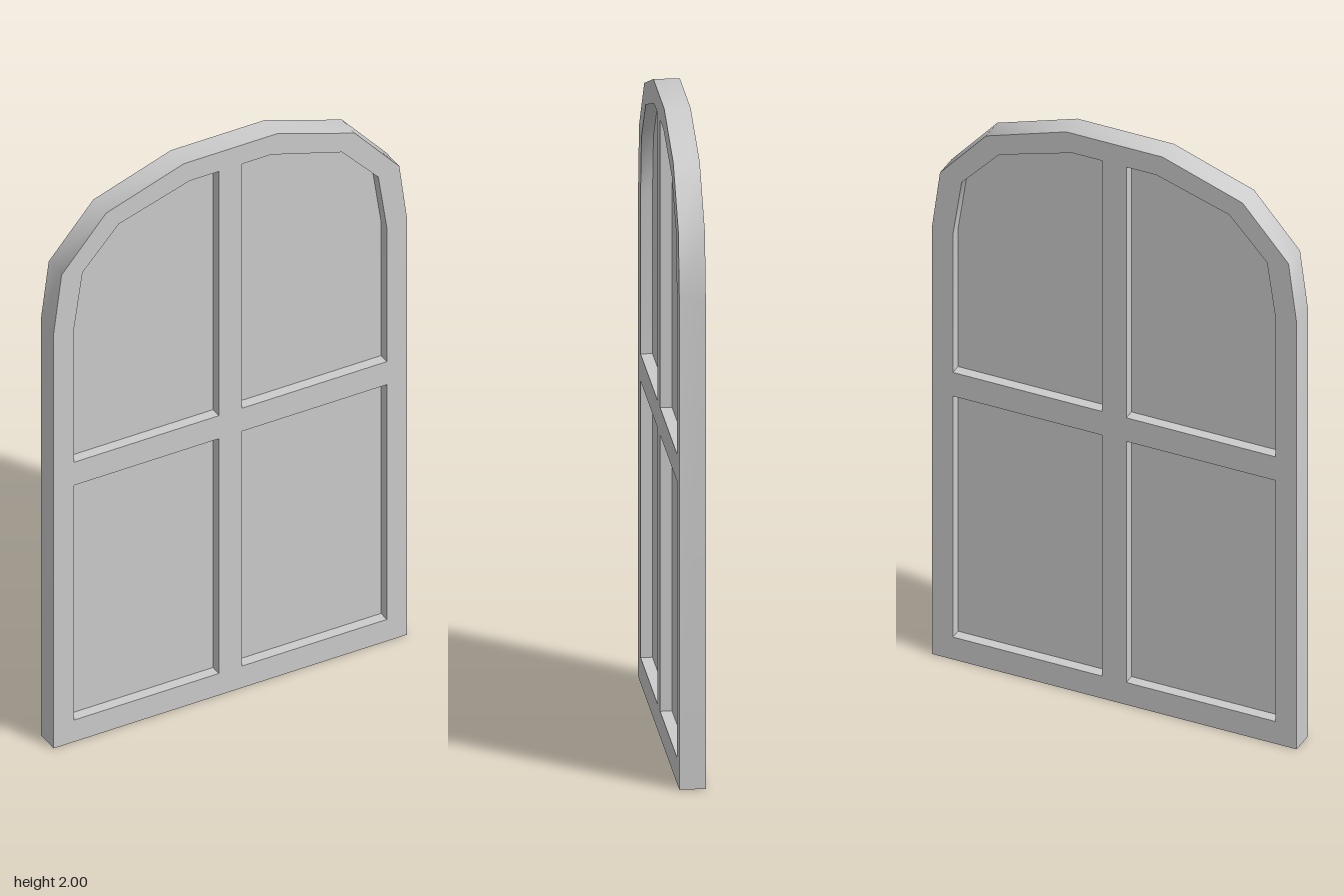
import * as THREE from 'three';
import { toCreasedNormals } from 'three/addons/utils/BufferGeometryUtils.js';

const DEPTH = 0.08;      // frame thickness
const PANEL = 0.008;     // panel thickness
const CREASE = 0.7;      // keeps the arch smooth and the corners sharp

const points = (list) => list.map(([x, y]) => new THREE.Vector2(x, y));
const mirror = (list) => list.map(([x, y]) => [-x, y]).reverse();

// Right half of the outline, from the foot to the crown
const halfOutline = [[0.607, 0], [0.607, 1.53], [0.58, 1.735], [0.427, 1.91], [0.16, 2]];

// Openings on the +x side
const lowerPane = [[0.04, 0.08], [0.537, 0.08], [0.537, 0.945], [0.04, 0.945]];
const upperPane = [[0.04, 1.03], [0.537, 1.03], [0.537, 1.525], [0.508, 1.72],
  [0.383, 1.855], [0.14, 1.93], [0.04, 1.93]];

// Slab of the given thickness, centred on z = 0
function slab(shape, depth, name, material) {
  const geometry = new THREE.ExtrudeGeometry(shape, { depth, bevelEnabled: false });
  geometry.translate(0, 0, -depth / 2);
  const mesh = new THREE.Mesh(toCreasedNormals(geometry, CREASE), material);
  mesh.name = name;
  return mesh;
}

export function createModel() {
  const group = new THREE.Group();
  group.name = 'archedWindow';
  const material = new THREE.MeshStandardMaterial({ color: 0xcccccc });

  const panes = {
    lowerLeftPanel: lowerPane,
    upperLeftPanel: upperPane,
    lowerRightPanel: mirror(lowerPane),
    upperRightPanel: mirror(upperPane),
  };

  // Arched frame with its cross bars, pierced by the four openings
  const frame = new THREE.Shape(points([...halfOutline, ...mirror(halfOutline)]));
  for (const pane of Object.values(panes)) frame.holes.push(new THREE.Path(points(pane)));
  group.add(slab(frame, DEPTH, 'frame', material));

  // Thin panels set at mid depth, recessed on both sides
  for (const [name, pane] of Object.entries(panes)) {
    group.add(slab(new THREE.Shape(points(pane)), PANEL, name, material));
  }
  return group;
}
